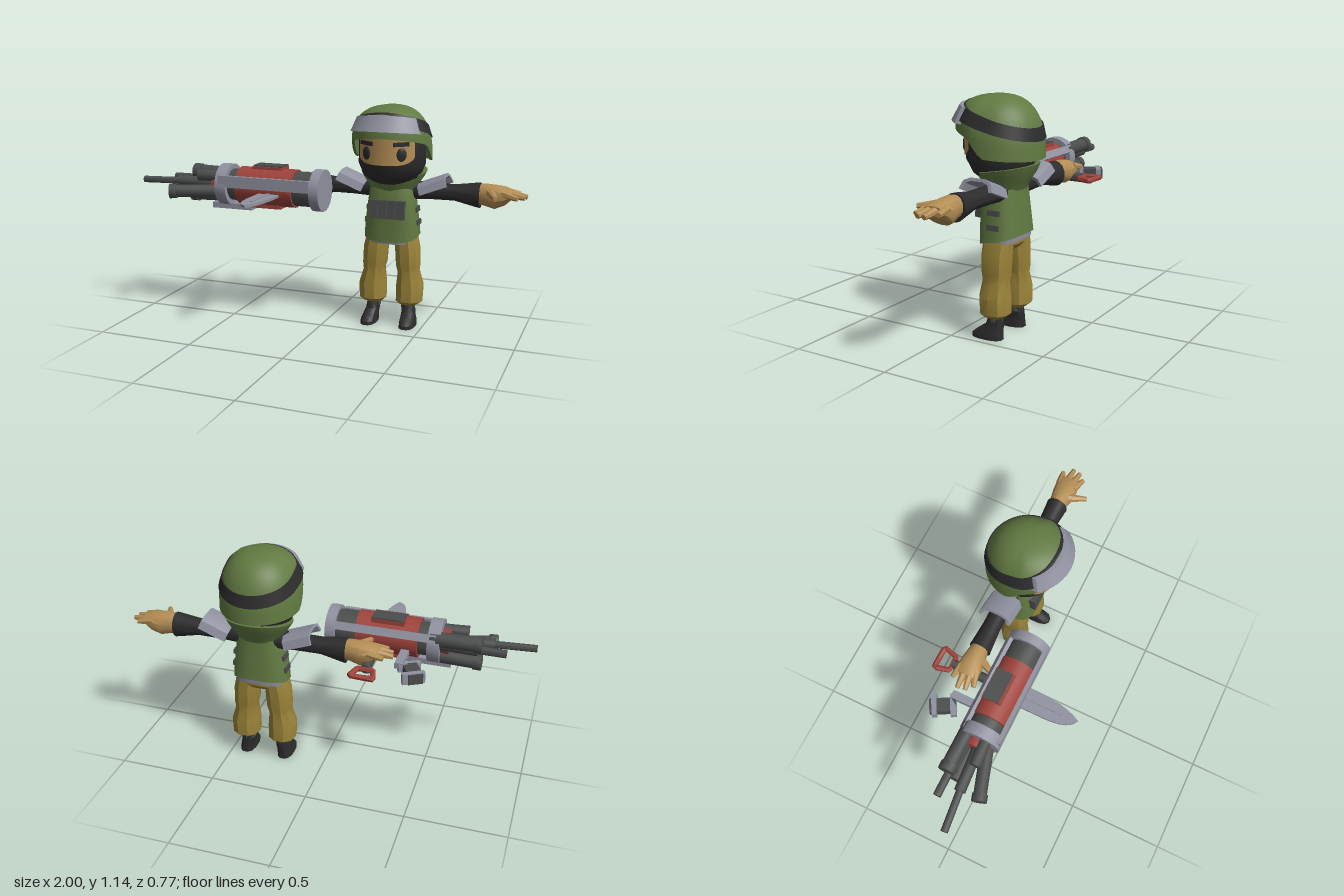
import * as THREE from 'three';
import { toCreasedNormals } from 'three/addons/utils/BufferGeometryUtils.js';

const V = (x, y, z) => new THREE.Vector3(x, y, z);
const paint = (name, color) => {
  const m = new THREE.MeshStandardMaterial({ color, side: THREE.DoubleSide });
  m.name = name;
  return m;
};

export function createModel() {
  const green = paint('olive green', 0x627a42), yellow = paint('khaki yellow', 0x9c8539);
  const tan = paint('skin tan', 0xb48e55), red = paint('dull red', 0x9e433b);
  const grey = paint('steel grey', 0x9092a0), iron = paint('dark iron', 0x4b4d4d);
  const black = paint('black cloth', 0x2c2c2d);
  const model = new THREE.Group();

  const add = (parent, name, geo, mat, crease = 0.6) => {
    const m = new THREE.Mesh(toCreasedNormals(geo, crease), mat);
    m.name = name;
    parent.add(m);
    return m;
  };
  const group = (parent, name) => {
    const g = new THREE.Group();
    g.name = name;
    parent.add(g);
    return g;
  };
  const box = (parent, name, mat, size, pos, rot = [0, 0, 0]) => {
    const m = add(parent, name, new THREE.BoxGeometry(...size), mat);
    m.position.set(...pos);
    m.rotation.set(...rot);
    return m;
  };
  // Surface through rows of points, bottom row first
  const loft = (rows) => {
    const pos = [], idx = [], n = rows[0].length;
    rows.forEach((row) => row.forEach((p) => pos.push(p.x, p.y, p.z)));
    for (let i = 0; i < rows.length - 1; i++) for (let j = 0; j < n - 1; j++) {
      const a = i * n + j, b = a + n;
      idx.push(a, a + 1, b + 1, a, b + 1, b);
    }
    const g = new THREE.BufferGeometry();
    g.setAttribute('position', new THREE.Float32BufferAttribute(pos, 3));
    g.setIndex(idx);
    return g;
  };
  // Closed body from sections [y, rx, rz, cx, cz, tilt]; squareness below 1 gives boxier sections
  const body = (sections, sides = 12, square = 1) => {
    const pw = (v) => Math.sign(v) * Math.abs(v) ** square;
    const ring = ([y, rx, rz, cx = 0, cz = 0, tilt = 0], k = 1) => Array.from({ length: sides + 1 }, (_, j) => {
      const a = ((j % sides) + 0.5) / sides * Math.PI * 2;
      return V(cx + k * rx * pw(Math.sin(a)), y + k * tilt * Math.cos(a), cz + k * rz * pw(Math.cos(a)));
    });
    return loft([ring(sections[0], 0), ...sections.map((s) => ring(s)), ring(sections.at(-1), 0)]);
  };
  const rod = (parent, name, mat, p, q, r0, r1 = r0, sides = 10) => {
    const a = V(...p), d = V(...q).sub(a);
    const m = add(parent, name, new THREE.CylinderGeometry(r1, r0, d.length(), sides), mat, 0.8);
    m.position.copy(a).addScaledVector(d, 0.5);
    m.quaternion.setFromUnitVectors(V(0, 1, 0), d.normalize());
    return m;
  };
  // Raised strip wrapped on a surface point(angle, y, offset)
  const strip = (aMax, n, low, high, point, out) => loft([[low, 0], [low, 1], [high, 1], [high, 0]].map(([f, o]) =>
    Array.from({ length: n + 1 }, (_, i) => {
      const a = (i / n * 2 - 1) * aMax, end = aMax < 3 && (i === 0 || i === n);
      return point(a, f(a), o && !end ? out : -0.003);
    })));

  const soldier = group(model, 'soldier');
  soldier.position.x = 0.32;

  // Head in a balaclava, with a face opening
  add(soldier, 'balaclava', body([[0.75, 0.1, 0.09, 0, -0.18], [0.785, 0.145, 0.13, 0, -0.178],
    [0.85, 0.17, 0.165, 0, -0.175], [1.0, 0.17, 0.165, 0, -0.175], [1.06, 0.13, 0.13, 0, -0.175]], 28), black);
  const headPoint = (a, y, o) => V((0.17 + o) * Math.sin(a), y, -0.175 + (0.165 + o) * Math.cos(a));
  add(soldier, 'face', strip(1.03, 16, (a) => 0.858 + 0.045 * (a / 1.03) ** 4, () => 1.0, headPoint, 0.005), tan);
  for (const s of [1, -1]) {
    const eye = add(soldier, 'eye', new THREE.SphereGeometry(1, 14, 10), black);
    eye.scale.set(0.025, 0.034, 0.009);
    eye.position.copy(headPoint(0.54 * s, 0.913, 0.004));
    eye.rotation.y = 0.5 * s;
    const brow = box(soldier, 'eyebrow', black, [0.078, 0.02, 0.018], [0, 0, 0], [0, 0.48 * s, 0.04 * s]);
    brow.position.copy(headPoint(0.52 * s, 0.964, 0.004));
  }

  // Helmet: domed shell whose rim is high over the face and low over the ears
  const TOP = 1.144;
  const rim = (a) => {
    const z = -0.17 + 0.21 * Math.cos(a);
    const t = THREE.MathUtils.clamp((z + 0.19) / 0.08, 0, 1);
    return THREE.MathUtils.lerp(0.885 + 0.08 * z, 0.985 + 0.25 * z, t);
  };
  const shell = (a, r, y, o = 0) => V((0.203 * r + o) * Math.sin(a), y, -0.17 + (0.21 * r + o) * Math.cos(a));
  const helmetPoint = (a, y, o) => {
    const c = ((y - rim(a)) / (TOP - rim(a))) ** 1.25;
    return shell(a, Math.sqrt(1 - c * c) ** 0.8, y, o);
  };
  const helmetRow = (t, k = 1) => Array.from({ length: 49 }, (_, i) => {
    const a = (i % 48) / 48 * Math.PI * 2;
    const y = rim(a) + (TOP - rim(a)) * Math.max(Math.cos(t), 0) ** 0.8;
    return shell(a, k * Math.sin(t) ** 0.8, y);
  });
  const rows = [helmetRow(Math.PI / 2, 0.93)];
  for (let i = 12; i >= 0; i--) rows.push(helmetRow(i / 12 * Math.PI / 2));
  add(soldier, 'helmet', loft(rows), green, 0.7);
  const bandTop = (a) => 1.108 + 0.29 * (-0.17 + 0.2 * Math.cos(a));
  add(soldier, 'helmetBand', strip(Math.PI, 48, (a) => bandTop(a) - 0.06, bandTop, helmetPoint, 0.006), black);
  add(soldier, 'goggles', strip(1.08, 14, (a) => 1.03 - 0.015 * a * a, (a) => 1.104 - 0.015 * a * a, helmetPoint, 0.02), grey);

  // Scarf, vest and belt
  add(soldier, 'scarf', body([[0.71, 0.115, 0.09, 0, -0.2], [0.755, 0.14, 0.112, 0, -0.2],
    [0.785, 0.16, 0.13, 0, -0.208, -0.008], [0.81, 0.172, 0.138, 0, -0.214, -0.02]], 24), green);
  add(soldier, 'vest', body([[0.475, 0.142, 0.102, 0, -0.202, -0.027], [0.55, 0.136, 0.1, 0, -0.2],
    [0.64, 0.125, 0.096, 0, -0.196], [0.71, 0.115, 0.09, 0, -0.196], [0.76, 0.1, 0.085, 0, -0.2]], 16, 0.7), green);
  add(soldier, 'belt', body([[0.455, 0.128, 0.088, 0, -0.205, -0.02], [0.5, 0.132, 0.093, 0, -0.203, -0.02]], 16, 0.7), grey);
  add(soldier, 'hips', body([[0.43, 0.09, 0.06, 0, -0.2], [0.455, 0.122, 0.078, 0, -0.202], [0.49, 0.122, 0.08, 0, -0.202]], 14, 0.8), yellow);
  for (let i = 0; i < 4; i++) {
    const x = (i - 1.5) * 0.046;
    box(soldier, 'pouch', iron, [0.041, 0.09, 0.036], [x, 0.618, -0.104], [-0.08, 0, 0]);
    box(soldier, 'pouchFlap', iron, [0.044, 0.03, 0.042], [x, 0.652, -0.104], [-0.08, 0, 0]);
  }

  // Limbs, made once per side
  for (const s of [1, -1]) {
    const side = group(soldier, s > 0 ? 'leftSide' : 'rightSide');
    side.scale.x = s;
    for (const [y, x] of [[0.612, 0.128], [0.545, 0.136]])
      box(side, 'sideStrap', iron, [0.012, 0.026, 0.064], [x, y, -0.208], [0, 0, 0.1]);
    add(side, 'trouserLeg', body([[0.11, 0.05, 0.05, 0.095, -0.2], [0.13, 0.071, 0.074, 0.098, -0.2],
      [0.21, 0.073, 0.075, 0.1, -0.2], [0.285, 0.057, 0.064, 0.092, -0.2], [0.32, 0.064, 0.07, 0.089, -0.2],
      [0.41, 0.065, 0.073, 0.084, -0.2], [0.475, 0.058, 0.072, 0.075, -0.203]], 10, 0.85), yellow, 0.5);
    rod(side, 'ankle', iron, [0.093, 0.085, -0.2], [0.093, 0.125, -0.2], 0.037);
    add(side, 'boot', body([[0, 0.041, 0.082, 0.104, -0.16], [0.018, 0.041, 0.08, 0.104, -0.16],
      [0.042, 0.037, 0.065, 0.101, -0.174], [0.07, 0.034, 0.044, 0.097, -0.195],
      [0.105, 0.034, 0.036, 0.093, -0.2]], 12, 0.8), black);

    const arm = group(side, 'arm');
    arm.position.set(0, 0.71, -0.215);
    const along = (sections, sides, sq) => body(sections, sides, sq).rotateZ(-Math.PI / 2);
    add(arm, 'sleeve', along([[0.07, 0.05, 0.05], [0.2, 0.043, 0.046], [0.32, 0.042, 0.046],
      [0.425, 0.062, 0.053, 0.005], [0.447, 0.065, 0.056, 0.006]], 14), black);
    add(arm, 'palm', along([[0.43, 0.05, 0.042], [0.47, 0.055, 0.048], [0.52, 0.06, 0.058, 0.008],
      [0.57, 0.046, 0.06, 0], [0.605, 0.022, 0.052, -0.01]], 12, 0.9), tan);
    for (const [x0, z0, x1, y1, z1] of [[0.56, -0.038, 0.636, 0.006, -0.052], [0.57, -0.012, 0.675, 0, -0.008],
      [0.57, 0.016, 0.668, 0, 0.03], [0.56, 0.036, 0.638, 0, 0.062], [0.5, 0.035, 0.542, 0.006, 0.125]])
      rod(arm, 'finger', tan, [x0, 0.015, z0], [x1, y1, z1], 0.023, 0.012, 7);

    // Arched shoulder plate rising outward
    const arch = new THREE.Shape();
    [[-0.086, -0.055], [-0.07, -0.015], [-0.035, 0], [0.035, 0], [0.07, -0.015], [0.086, -0.055],
      [0.07, -0.058], [0.058, -0.026], [0.03, -0.015], [-0.03, -0.015], [-0.058, -0.026], [-0.07, -0.058]]
      .forEach(([x, y], i) => (i ? arch.lineTo(x, y) : arch.moveTo(x, y)));
    const pad = add(side, 'shoulderPlate', new THREE.ExtrudeGeometry(arch, { depth: 0.145, bevelEnabled: false })
      .rotateY(Math.PI / 2).rotateZ(0.37), grey);
    pad.position.set(0.135, 0.748, -0.215);
  }

  // Cannon lying along x
  const gun = group(model, 'cannon');
  gun.position.set(0, 0.713, -0.007);
  const drum = (name, mat, x0, x1, r, sides = 24) => rod(gun, name, mat, [x0, 0, 0], [x1, 0, 0], r, r, sides);
  drum('endDisc', grey, -0.03, 0.02, 0.107);
  drum('rearDrum', iron, -0.14, -0.03, 0.088);
  drum('redHousing', red, -0.44, -0.13, 0.098);
  drum('frontDrum', iron, -0.5, -0.43, 0.082);
  drum('clampRing', grey, -0.55, -0.49, 0.108);
  drum('redCore', red, -0.59, -0.54, 0.065);
  box(gun, 'topPanelBase', red, [0.165, 0.02, 0.1], [-0.288, 0.095, -0.02]);
  box(gun, 'topPanel', iron, [0.16, 0.008, 0.085], [-0.288, 0.107, -0.025]);
  box(gun, 'bottomPanel', red, [0.165, 0.02, 0.09], [-0.288, -0.097, 0]);
  box(gun, 'frontRail', grey, [0.5, 0.06, 0.02], [-0.28, 0.03, 0.096]);
  box(gun, 'backRail', grey, [0.5, 0.04, 0.02], [-0.28, 0.05, -0.088], [0.5, 0, 0]);
  box(gun, 'bottomRail', grey, [0.225, 0.03, 0.06], [-0.488, -0.112, 0]);

  // Barrel cluster, some splayed outward: [start, end, radius]
  [[[-0.5, 0.04, -0.065], [-0.745, 0.045, -0.065], 0.037], [[-0.7, 0.01, -0.055], [-0.865, 0.01, -0.055], 0.02],
    [[-0.5, 0.01, -0.05], [-0.73, 0.01, -0.055], 0.03],
    [[-0.5, -0.065, -0.03], [-0.745, -0.07, -0.03], 0.035], [[-0.54, 0.005, 0.01], [-0.8, 0.005, 0.03], 0.028],
    [[-0.78, 0.005, 0.028], [-0.997, 0.003, 0.052], 0.018], [[-0.53, -0.03, 0.04], [-0.79, -0.035, 0.125], 0.033],
    [[-0.765, -0.034, 0.117], [-0.8, -0.035, 0.128], 0.039], [[-0.5, 0.045, 0.03], [-0.67, 0.045, 0.045], 0.03],
    [[-0.71, 0.044, -0.065], [-0.75, 0.045, -0.065], 0.042], [[-0.71, -0.07, -0.03], [-0.75, -0.07, -0.03], 0.04]]
    .forEach(([p, q, r]) => rod(gun, 'barrel', iron, p, q, r, r, 12));

  // Side blade pointing forward
  const blade = new THREE.Shape();
  blade.moveTo(-0.055, 0.08);
  blade.lineTo(0.055, 0.08);
  blade.quadraticCurveTo(0.06, 0.29, 0.005, 0.38);
  blade.quadraticCurveTo(-0.05, 0.36, -0.055, 0.24);
  const bladeMesh = add(gun, 'blade', new THREE.ExtrudeGeometry(blade, { depth: 0.014, bevelEnabled: false, curveSegments: 6 })
    .rotateX(Math.PI / 2), grey);
  bladeMesh.position.set(-0.25, -0.02, 0);
  box(gun, 'bladeRidge', grey, [0.012, 0.022, 0.22], [-0.25, -0.026, 0.19]);

  // Grip loop at the back, with its post
  const loop = new THREE.CurvePath();
  const corners = [[-0.3, -0.375], [-0.185, -0.375], [-0.205, -0.3], [-0.28, -0.3]];
  corners.forEach(([x, z], i) => {
    const [x2, z2] = corners[(i + 1) % 4];
    loop.add(new THREE.LineCurve3(V(x, -0.042, z), V(x2, -0.042, z2)));
  });
  add(gun, 'gripLoop', new THREE.TubeGeometry(loop, 32, 0.014, 6, true), red, 0.9);
  rod(gun, 'gripPost', iron, [-0.243, -0.04, -0.08], [-0.243, -0.042, -0.3], 0.024);

  // Sight bracket at the back
  box(gun, 'sightArm', grey, [0.04, 0.03, 0.17], [-0.385, -0.04, -0.145]);
  box(gun, 'sightBase', grey, [0.11, 0.04, 0.03], [-0.43, -0.05, -0.2], [0, 0.5, 0]);
  box(gun, 'sightBody', iron, [0.07, 0.05, 0.13], [-0.455, -0.055, -0.245], [0, 0.5, 0]);
  box(gun, 'sightCap', grey, [0.11, 0.055, 0.025], [-0.47, -0.055, -0.285], [0, 0.5, 0]);
  return model;
}
